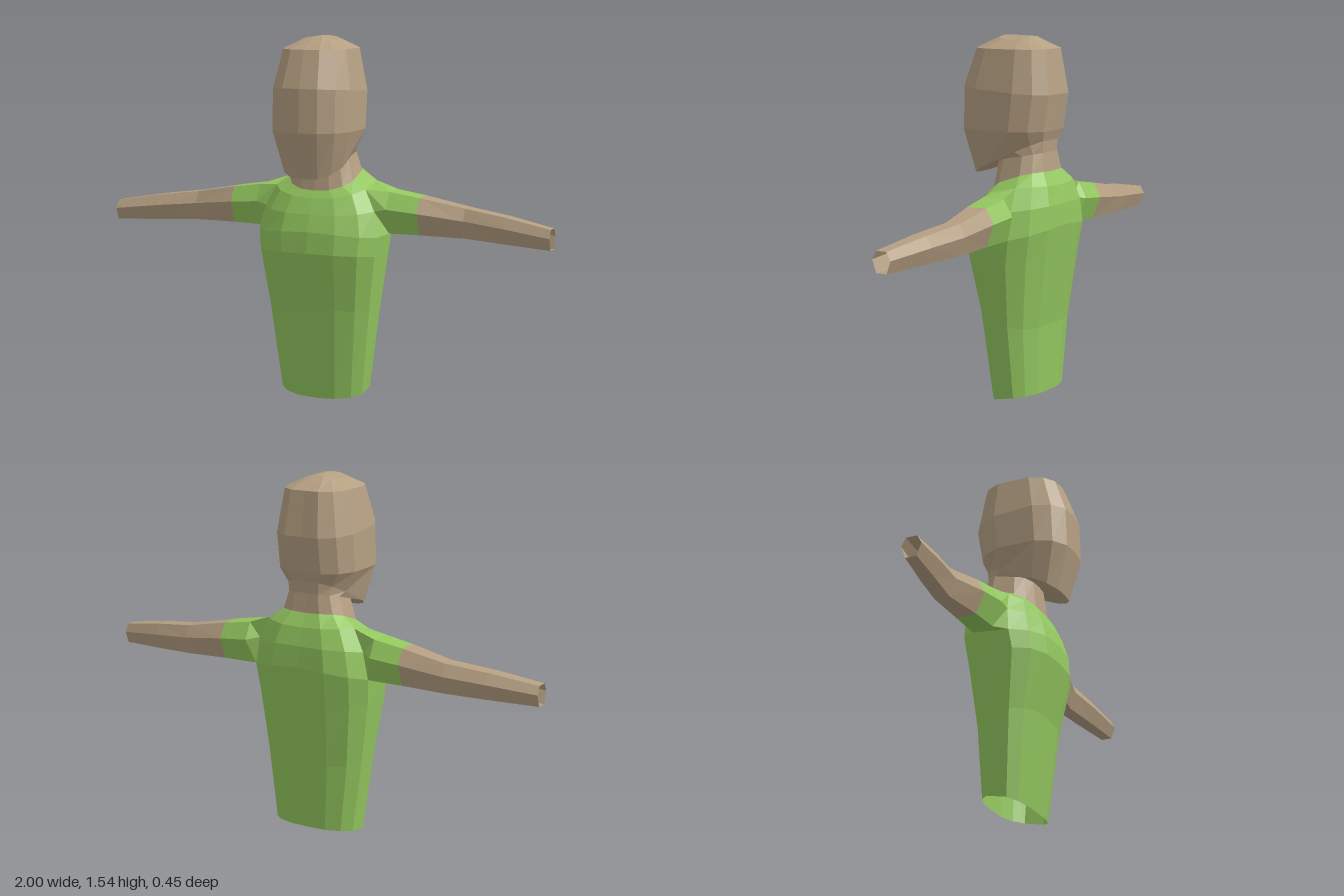
import * as THREE from 'three';

const material = (color) =>
  new THREE.MeshStandardMaterial({ color, flatShading: true, side: THREE.DoubleSide });

// Half outline of a body section, front to back: [x fraction, z fraction]
const HALF = [[0, 1], [0.45, 0.96], [0.8, 0.76], [1, 0.42], [1, -0.42], [0.8, -0.78], [0.45, -0.98], [0, -0.97]];
const OUTLINE = [...HALF, ...HALF.slice(1, -1).reverse().map(([x, z]) => [-x, z])];

// Tilted body section: front z/y, back z/y, half width, lift of the sides
function section([fz, fy, bz, by, hw, lift = 0]) {
  return OUTLINE.map(([x, z]) => {
    const t = (1 - z) / 2;
    return [x * hw, fy + (by - fy) * t + lift * x * x, fz + (bz - fz) * t];
  });
}

// Skin closed rings of points; skip(row, column) leaves openings
function loft(rings, skip = () => false, tip = null) {
  const n = rings[0].length;
  const index = [];
  const points = rings.flat();
  for (let r = 0; r < rings.length - 1; r++) {
    for (let c = 0; c < n; c++) {
      if (skip(r, c)) continue;
      const a = r * n + c, b = r * n + (c + 1) % n;
      index.push(a, b, b + n, a, b + n, a + n);
    }
  }
  if (tip) {
    const base = (rings.length - 1) * n;
    for (let c = 0; c < n; c++) index.push(base + c, base + (c + 1) % n, points.length);
    points.push(tip);
  }
  const geometry = new THREE.BufferGeometry();
  geometry.setAttribute('position', new THREE.Float32BufferAttribute(points.flat(), 3));
  geometry.setIndex(index);
  geometry.computeVertexNormals();
  return geometry;
}

// Six-sided arm section: x, top y, bottom y, front z, back z
function armSection([x, top, bottom, front, back]) {
  const inset = (front - back) * 0.22;
  const mid = bottom + (top - bottom) * 0.6;
  return [
    [x, bottom, front - inset], [x, bottom, back + inset], [x, mid, back],
    [x, top, back + inset], [x, top, front - inset], [x, mid, front],
  ];
}

export function createModel() {
  const model = new THREE.Group();
  const skin = material(0xb59f82);
  const shirt = material(0x93c75f);
  const add = (name, geometry, mat, parent = model) => {
    const mesh = new THREE.Mesh(geometry, mat);
    mesh.name = name;
    parent.add(mesh);
  };

  // Torso, open at the hem, with an armhole on each side
  const neckBase = section([0.075, 0.895, -0.165, 0.98, 0.145, 0.015]);
  const torso = [
    [0.055, 0, -0.15, 0.04, 0.187, 0.01],
    [0.10, 0.40, -0.165, 0.33, 0.228],
    [0.155, 0.64, -0.205, 0.60, 0.262],
    [0.148, 0.73, -0.228, 0.76, 0.272, -0.03],
    [0.125, 0.80, -0.222, 0.85, 0.25],
    [0.095, 0.865, -0.20, 0.925, 0.205, 0.02],
  ].map(section);
  add('torso', loft([...torso, neckBase], (r, c) => (r === 3 || r === 4) && (c === 3 || c === 10)), shirt);

  // Neck and head in one skin, closed at the crown
  const head = [
    [0.06, 1.02, -0.155, 1.06, 0.12],
    [0.18, 0.955, -0.16, 1.11, 0.132],
    [0.23, 1.15, -0.175, 1.15, 0.175],
    [0.225, 1.33, -0.20, 1.30, 0.175],
    [0.17, 1.485, -0.17, 1.485, 0.142],
    [0.07, 1.535, -0.07, 1.535, 0.075, -0.015],
  ].map(section);
  add('head', loft([neckBase, ...head], undefined, [0, 1.537, 0]), skin);

  // Arms grow from the armhole rim and stay open at the wrist
  const [low, mid, high] = torso.slice(3);
  const armhole = [low[3], low[4], mid[4], high[4], high[3], mid[3]];
  const cuff = armSection([0.43, 0.875, 0.72, 0.005, -0.155]);
  const sleeve = loft([armhole, armSection([0.3, 0.895, 0.72, 0.02, -0.158]), cuff]);
  const forearm = loft([
    cuff,
    armSection([0.62, 0.84, 0.715, -0.03, -0.145]),
    armSection([0.8, 0.818, 0.708, -0.005, -0.115]),
    armSection([1, 0.785, 0.70, 0.015, -0.07]),
  ]);
  for (const [name, side] of [['left', 1], ['right', -1]]) {
    const arm = new THREE.Group();
    arm.name = name + 'Arm';
    arm.scale.x = side;
    add(name + 'Sleeve', sleeve, shirt, arm);
    add(name + 'Forearm', forearm, skin, arm);
    model.add(arm);
  }
  return model;
}
